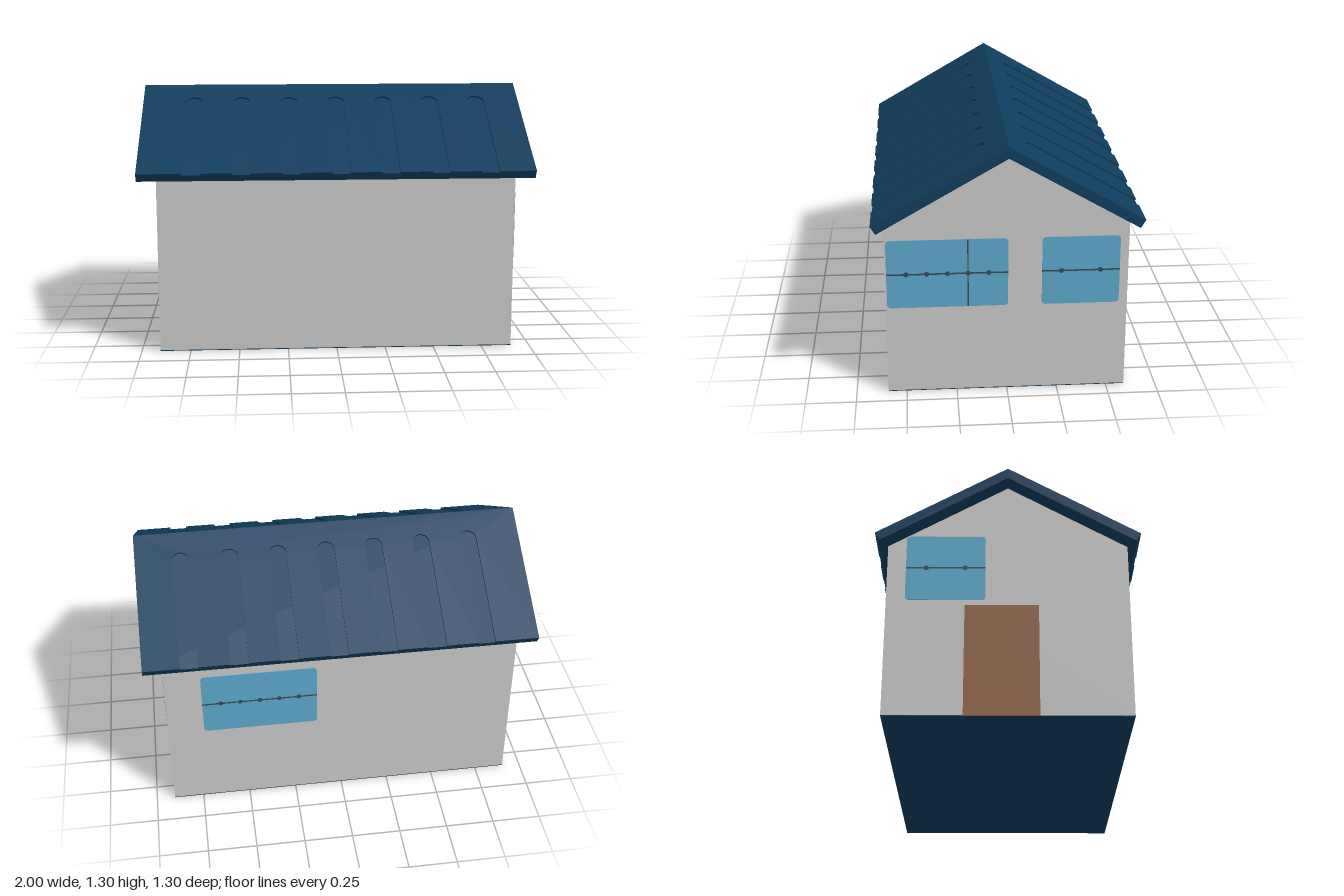
import * as THREE from 'three';

const mat = (name, color) => {
  const m = new THREE.MeshStandardMaterial({ color });
  m.name = name;
  return m;
};

export function createModel() {
  const wallMat = mat('wallGrey', 0xc8c8c8);
  const roofMat = mat('roofNavy', 0x0f3c5d);
  const glassMat = mat('windowBlue', 0x5ca8c9);
  const frameMat = mat('frameGrey', 0x3a4a55);
  const doorMat = mat('doorBrown', 0x946549);

  const house = new THREE.Group();
  house.name = 'house';
  const add = (parent, name, geo, material, x = 0, y = 0, z = 0) => {
    const m = new THREE.Mesh(geo, material);
    m.name = name;
    m.position.set(x, y, z);
    parent.add(m);
    return m;
  };
  const extrude = (shape, depth) =>
    new THREE.ExtrudeGeometry(shape, { depth, bevelEnabled: false, curveSegments: 8 });
  const polygon = pts => new THREE.Shape(pts.map(p => new THREE.Vector2(...p)));

  const HX = 0.905, HZ = 0.592, RIDGE = 1.305, PITCH = Math.PI / 6;
  const slope = Math.tan(PITCH), THICK = 0.0476, GROOVE = 0.01;
  const LENGTH = 0.65 / Math.cos(PITCH);

  // Walls: gabled outline run along the length of the house
  const gable = 1.252, eave = gable - HZ * slope;
  const walls = extrude(polygon([[-HZ, 0.004], [HZ, 0.004], [HZ, eave], [0, gable], [-HZ, eave]]), 2 * HX);
  walls.translate(0, 0, -HX).rotateY(Math.PI / 2);
  add(house, 'walls', walls, wallMat);
  add(house, 'floor', new THREE.BoxGeometry(2 * HX, 0.004, 2 * HZ), roofMat, 0, 0.002, 0);

  // Roof core: folded slab below the groove depth
  const s = Math.sin(PITCH), c = Math.cos(PITCH);
  const topY = RIDGE - GROOVE / c, lowY = RIDGE - THICK / c;
  const ez = 0.65, ey = RIDGE - ez * slope;
  const outer = [ez - GROOVE * s, ey - GROOVE * c], inner = [ez - THICK * s, ey - THICK * c];
  const core = extrude(polygon([
    [0, topY], [-outer[0], outer[1]], [-inner[0], inner[1]],
    [0, lowY], inner, outer,
  ]), 2);
  core.translate(0, 0, -1).rotateY(Math.PI / 2);
  add(house, 'roofCore', core, roofMat);

  // Roof skins: seven round-topped grooves cut in from the eave on each slope
  const grooves = [-0.73, -0.48, -0.23, 0.02, 0.27, 0.52, 0.77];
  const R = 0.045, grooveTop = -0.1 / c - R;
  for (const side of [1, -1]) {
    const shape = new THREE.Shape();
    shape.moveTo(-1, 0);
    shape.lineTo(-1, -LENGTH);
    for (const gx of grooves.map(g => g * side).sort((a, b) => a - b)) {
      shape.lineTo(gx - R, -LENGTH);
      shape.lineTo(gx - R, grooveTop);
      shape.absarc(gx, grooveTop, R, Math.PI, 0, true);
      shape.lineTo(gx + R, -LENGTH);
    }
    shape.lineTo(1, -LENGTH);
    shape.lineTo(1, 0);
    const skin = extrude(shape, GROOVE);
    skin.translate(0, 0, -GROOVE).rotateX(PITCH - Math.PI / 2);
    if (side < 0) skin.rotateY(Math.PI);
    add(house, side > 0 ? 'frontRoofSkin' : 'backRoofSkin', skin, roofMat, 0, RIDGE, 0);
  }

  // Windows: rounded pane, slim glazing bars and small studs along the middle bar
  function addWindow(name, w, h, pos, turn, bars, studs) {
    const g = new THREE.Group();
    g.name = name;
    const a = w / 2, b = h / 2, r = 0.02;
    const p = new THREE.Shape();
    p.absarc(a - r, b - r, r, 0, Math.PI / 2);
    p.absarc(-a + r, b - r, r, Math.PI / 2, Math.PI);
    p.absarc(-a + r, -b + r, r, Math.PI, 1.5 * Math.PI);
    p.absarc(a - r, -b + r, r, 1.5 * Math.PI, 2 * Math.PI);
    add(g, 'pane', extrude(p, 0.003), glassMat);
    add(g, 'crossBar', new THREE.BoxGeometry(w, 0.008, 0.001), frameMat, 0, 0, 0.0035);
    for (const x of bars)
      add(g, 'uprightBar', new THREE.BoxGeometry(0.006, h, 0.001), frameMat, x, 0, 0.0035);
    for (const x of studs)
      add(g, 'stud', new THREE.CylinderGeometry(0.013, 0.013, 0.002, 8).rotateX(Math.PI / 2), frameMat, x, 0, 0.0035);
    g.position.set(...pos);
    g.rotation.y = turn;
    house.add(g);
  }
  const Q = Math.PI / 2, wideStuds = [-0.2, -0.1, 0, 0.1, 0.2];
  addWindow('wideGableWindow', 0.59, 0.355, [HX, 0.638, 0.29], Q, [0.1], wideStuds);
  addWindow('smallGableWindow', 0.38, 0.355, [HX, 0.638, -0.36], Q, [], [-0.095, 0.095]);
  addWindow('backWindow', 0.59, 0.355, [0.425, 0.638, -HZ], Math.PI, [], wideStuds);
  addWindow('doorSideWindow', 0.39, 0.355, [-HX, 0.785, -0.305], -Q, [], [-0.095, 0.095]);

  // Door
  add(house, 'door', new THREE.BoxGeometry(0.006, 0.58, 0.36), doorMat, -HX - 0.001, 0.29, -0.03);

  return house;
}
